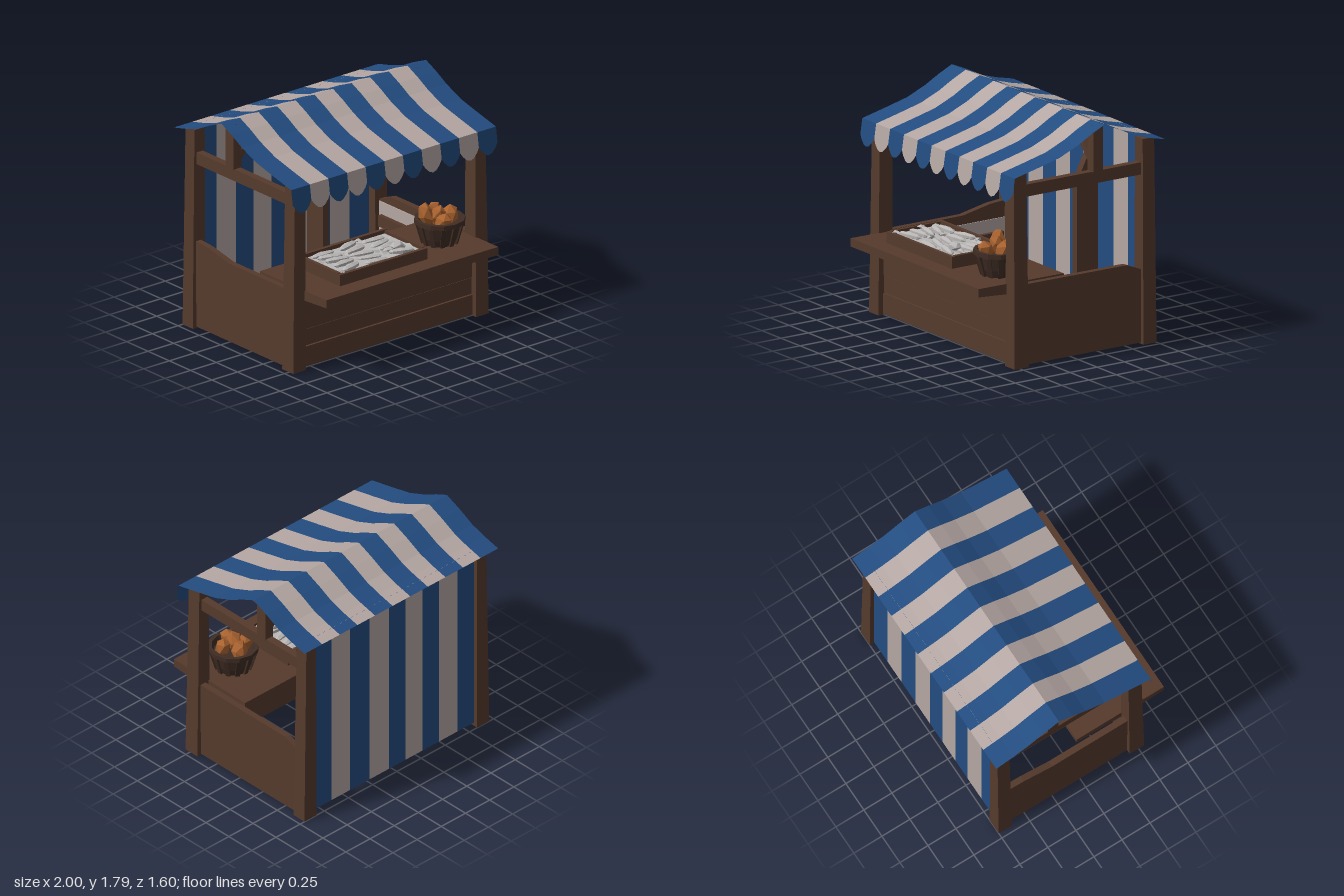
import * as THREE from 'three';

const mat = (name, color, side = THREE.FrontSide) => {
  const m = new THREE.MeshStandardMaterial({ color, flatShading: true, side });
  m.name = name;
  return m;
};

export function createModel() {
  const model = new THREE.Group();
  const wood = mat('wood', 0x553a2c);
  const darkWood = mat('darkWicker', 0x402d24);
  const blue = mat('blueCloth', 0x234c80, THREE.DoubleSide);
  const pale = mat('paleCloth', 0xb5a7a3, THREE.DoubleSide);
  const fishGrey = mat('fishSkin', 0xbab6b6);
  const bread = mat('breadCrust', 0xa9622f);
  const stripe = (i) => (i % 2 ? pale : blue);

  const add = (name, geo, material, parent = model) => {
    const m = new THREE.Mesh(geo, material);
    m.name = name;
    parent.add(m);
    return m;
  };
  // Box given by its limits on each axis
  const block = (name, [x0, x1], [y0, y1], [z0, z1], material = wood, parent = model) => {
    const g = new THREE.BoxGeometry(x1 - x0, y1 - y0, z1 - z0);
    g.translate((x0 + x1) / 2, (y0 + y1) / 2, (z0 + z1) / 2);
    return add(name, g, material, parent);
  };
  // Outline in (z, y) extruded across x
  const sideSlab = (name, pts, x0, x1, material = wood) => {
    const shape = new THREE.Shape(pts.map(([z, y]) => new THREE.Vector2(z, y)));
    const g = new THREE.ExtrudeGeometry(shape, { depth: x1 - x0, bevelEnabled: false });
    g.rotateY(-Math.PI / 2).translate(x1, 0, 0);
    return add(name, g, material);
  };
  // Square bar between two points
  const bar = (name, a, b, w, d) => {
    const p = new THREE.Vector3(...a), q = new THREE.Vector3(...b);
    const m = add(name, new THREE.BoxGeometry(w, d, p.distanceTo(q)), wood);
    m.position.copy(p).lerp(q, 0.5);
    m.lookAt(q);
    return m;
  };

  // Corner posts, leaning slightly inward on the outer face
  const post = (name, s, z0, z1, h) => {
    const m = block(name, [0.83, 0.955], [0, h], [z0, z1]);
    const p = m.geometry.attributes.position;
    for (let i = 0; i < p.count; i++) {
      if (p.getY(i) > h / 2) {
        if (p.getX(i) > 0.9) p.setX(i, 0.93);
        p.setZ(i, p.getZ(i) + (p.getZ(i) > (z0 + z1) / 2 ? -0.01 : 0.005));
      }
    }
    if (s < 0) m.rotation.y = Math.PI, m.geometry.rotateY(Math.PI).scale(1, 1, 1), mirrorX(m);
  };
  const mirrorX = (m) => {
    // swap sides by reflecting z twice: turn the mesh and reflect its depth, keeping winding by index reversal
    const g = m.geometry, idx = g.index.array;
    m.rotation.y = 0;
    g.scale(1, 1, -1);
    for (let i = 0; i < idx.length; i += 3) [idx[i], idx[i + 1]] = [idx[i + 1], idx[i]];
    g.computeVertexNormals();
  };

  for (const s of [1, -1]) {
    const side = s > 0 ? 'left' : 'right';
    const span = (a, b) => (s > 0 ? [a, b] : [-b, -a]);
    post(side + 'FrontPost', s, 0.42, 0.55, 1.51);
    post(side + 'BackPost', s, -0.75, -0.63, 1.6);

    // Side panel with cloth-coloured lining
    const top = s > 0 ? [[-0.5, 0.635], [-0.64, 0.58]] : [[-0.25, 0.64], [-0.5, 0.69], [-0.64, 0.7]];
    sideSlab(side + 'Panel', [[0.44, 0.01], [0.44, 0.64], ...top, [-0.64, 0.01]], ...span(0.87, 0.92));
    block(side + 'Lining', span(0.863, 0.87), [0.07, 0.57], [-0.63, 0.42], pale);
    block(side + 'LiningHem', span(0.863, 0.87), [0.01, 0.07], [-0.63, 0.42], blue);
    block(side + 'Cleat', span(0.83, 0.87), [0.38, 0.47], [-0.6, 0.42]);

    // Upper rail, king post and braces
    block(side + 'Rail', span(0.85, 0.91), [1.32, 1.415], [-0.65, 0.44]);
    block(side + 'KingPost', span(0.84, 0.92), [1.41, 1.775], [-0.285, -0.195]);
    bar(side + 'RidgeBrace', [s * 0.86, 1.47, -0.24], [s * 0.66, 1.68, -0.24], 0.05, 0.05);
  }
  block('ridgeBeam', [-0.9, 0.9], [1.66, 1.74], [-0.275, -0.205]);
  sideSlab('backMiddlePost',
    [[-0.5, 0.01], [-0.5, 1.15], [-0.53, 1.19], [-0.6, 1.33], [-0.6, 1.42], [-0.69, 1.42], [-0.69, 0.01]], 0.21, 0.27);

  // Front planks
  [[0.01, 0.17, 0.51], [0.175, 0.305, 0.5], [0.31, 0.58, 0.505]].forEach(([y0, y1, z], i) =>
    block('frontPlank' + (i + 1), [-0.84, 0.84], [y0, y1], [0.45, z]));

  // Counter top, with a slightly drooping lower edge
  sideSlab('counter', [[0.8, 0.58], [0.8, 0.645], [0.02, 0.64], [0.02, 0.58], [0.5, 0.56]], -0.84, 0.84);

  // Striped back cloth, one sheet for each face
  const backEdges = [-0.84, -0.66, -0.47, -0.3, -0.12, 0.05, 0.25, 0.45, 0.64, 0.84];
  for (let i = 0; i < 9; i++)
    block('backCloth' + (i + 1), [backEdges[i], backEdges[i + 1]], [0.03, 1.61], [-0.715, -0.707], stripe(i));

  // Striped canopy: sagging roof strips ending in a scalloped flap
  const profile = [[-0.8, 1.59], [-0.65, 1.625], [-0.52, 1.665], [-0.38, 1.735], [-0.24, 1.795],
    [-0.12, 1.74], [0, 1.675], [0.17, 1.605], [0.38, 1.555], [0.58, 1.51]];
  const canopy = new THREE.Group();
  canopy.name = 'canopy';
  model.add(canopy);
  const N = 11, w = 2 / N;
  for (let i = 0; i < N; i++) {
    const x0 = -1 + i * w, x1 = x0 + w, pos = [], idx = [];
    profile.forEach(([z, y], k) => {
      pos.push(x0, y, z, x1, y, z);
      if (k) {
        const a = 2 * k - 2;
        idx.push(a, a + 2, a + 1, a + 1, a + 2, a + 3);
      }
    });
    const g = new THREE.BufferGeometry();
    g.setAttribute('position', new THREE.Float32BufferAttribute(pos, 3));
    g.setIndex(idx);
    g.computeVertexNormals();
    add('roofStripe' + (i + 1), g, stripe(i), canopy);

    const pts = [[0, 0], [0, -0.12], [0.12, -0.155], [0.32, -0.19], [0.5, -0.2], [0.68, -0.19], [0.88, -0.155], [1, -0.12], [1, 0]];
    const flap = new THREE.ShapeGeometry(new THREE.Shape(pts.map(([u, v]) => new THREE.Vector2(x0 + u * w, v))));
    const f = add('scallop' + (i + 1), flap, stripe(i), canopy);
    f.position.set(0, 1.51, 0.58);
    f.rotation.x = -0.15;
  }

  // Fish tray
  const tray = new THREE.Group();
  tray.name = 'fishTray';
  model.add(tray);
  block('trayBase', [-0.57, 0.26], [0.645, 0.67], [0.16, 0.64], wood, tray);
  block('trayFront', [-0.58, 0.275], [0.645, 0.735], [0.62, 0.65], wood, tray);
  block('trayBack', [-0.58, 0.275], [0.645, 0.745], [0.15, 0.18], wood, tray);
  block('trayRightEnd', [-0.58, -0.55], [0.645, 0.74], [0.18, 0.62], wood, tray);
  block('trayLeftEnd', [0.245, 0.275], [0.645, 0.74], [0.18, 0.62], wood, tray);
  block('iceBed', [-0.55, 0.245], [0.67, 0.715], [0.18, 0.62], fishGrey, tray);
  for (let i = 0; i < 15; i++) {
    const fish = new THREE.Group();
    fish.name = 'fish' + (i + 1);
    add('fishBody', new THREE.SphereGeometry(1, 6, 4).rotateZ(Math.PI / 2).scale(0.11, 0.026, 0.036), fishGrey, fish);
    add('fishTail', new THREE.ConeGeometry(0.035, 0.06, 4).rotateZ(-Math.PI / 2).scale(1, 0.35, 1).translate(-0.115, 0, 0), fishGrey, fish);
    fish.position.set(-0.4 + (i % 3) * 0.245, 0.725 + 0.012 * Math.sin(i * 2.3), 0.23 + Math.floor(i / 3) * 0.083);
    fish.rotation.set(0, 0.3 * Math.sin(i * 1.7) + (i % 2) * Math.PI, 0.06 * Math.sin(i * 3.1));
    tray.add(fish);
  }
  const shell = add('shellfish', new THREE.IcosahedronGeometry(0.05, 0).scale(1.2, 0.7, 1), fishGrey, tray);
  shell.position.set(0.1, 0.755, 0.5);

  // Bread basket
  const basket = new THREE.Group();
  basket.name = 'breadBasket';
  basket.position.set(0.575, 0.64, 0.43);
  model.add(basket);
  const bowl = [[0, 0], [0.125, 0], [0.15, 0.06], [0.175, 0.16], [0.195, 0.165], [0.195, 0.2], [0.165, 0.2], [0.15, 0.15], [0, 0.14]];
  add('basketBowl', new THREE.LatheGeometry(bowl.map(([r, y]) => new THREE.Vector2(r, y)), 12), darkWood, basket);
  const ribs = 12;
  for (let i = 0; i < ribs; i++) {
    const a = (i / ribs) * Math.PI * 2;
    const rib = add('basketRib', new THREE.BoxGeometry(0.035, 0.165, 0.02), darkWood, basket);
    rib.position.set(Math.sin(a) * 0.155, 0.085, Math.cos(a) * 0.155);
    rib.rotation.set(0.28, a, 0, 'YXZ');
  }
  // Loaves: x, y, z, length, lean
  [[-0.09, 0.23, -0.05, 0.1, 0.25], [0.09, 0.21, 0.02, 0.085, -0.4], [-0.04, 0.2, 0.09, 0.08, 0.7],
    [0.03, 0.21, -0.1, 0.09, -0.2], [-0.02, 0.22, 0, 0.09, 0.1]].forEach(([x, y, z, l, lean], i) => {
    const loaf = add('loaf' + (i + 1), new THREE.IcosahedronGeometry(1, 0).scale(0.065, l, 0.062), bread, basket);
    loaf.position.set(x, y, z);
    loaf.rotation.set(-0.3 + 0.2 * i, i, lean);
  });

  return model;
}
